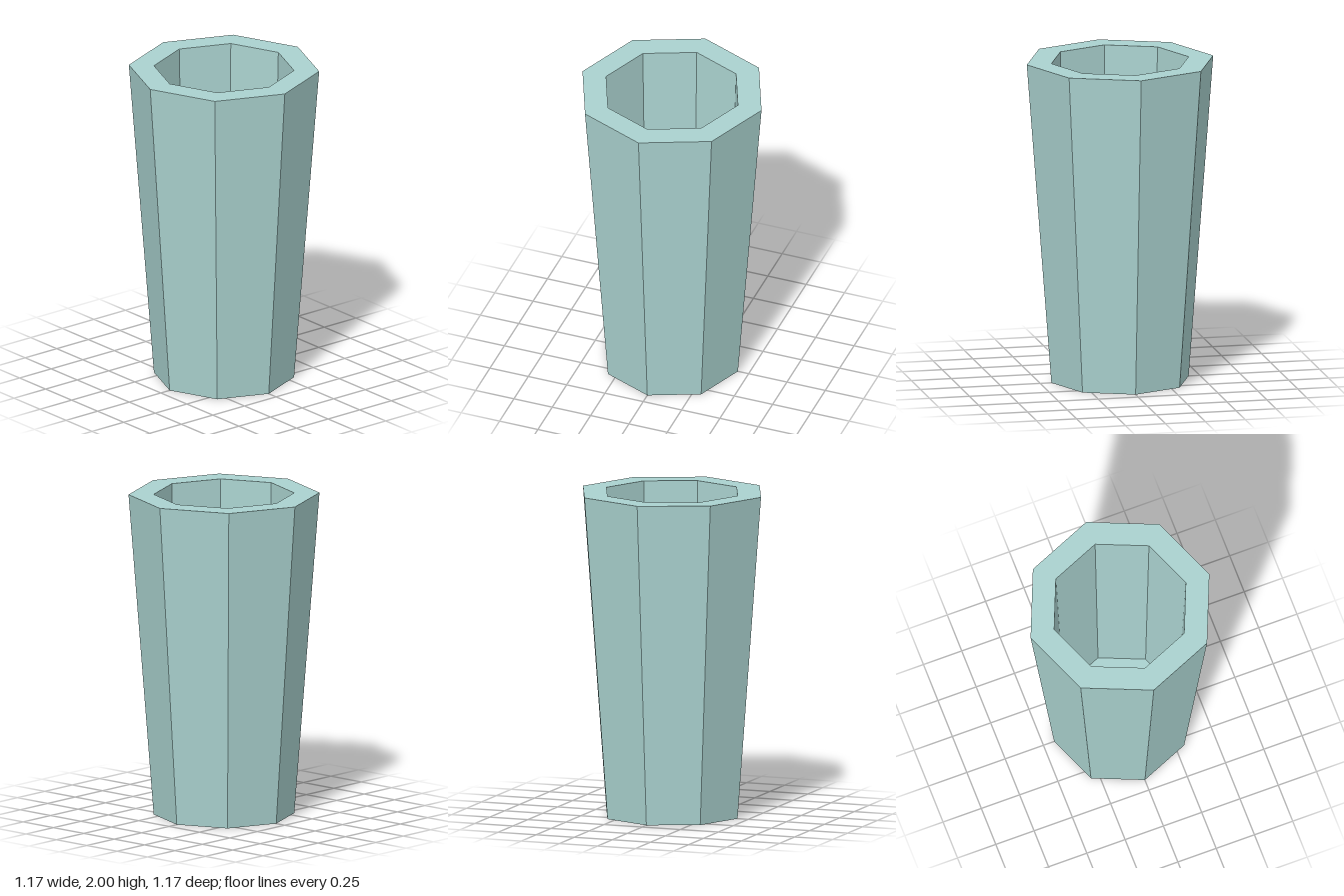
import * as THREE from 'three';

export function createModel() {
  const model = new THREE.Group();
  const material = new THREE.MeshStandardMaterial({ color: 0xaad2cf, flatShading: true });

  // Eight-sided tapered cup: base, outer wall, flat rim, inner wall, floor
  const profile = [
    [0, 0],
    [0.43, 0],
    [0.584, 2],
    [0.43, 2],
    [0.38, 0.1],
    [0, 0.1],
  ].map(([r, y]) => new THREE.Vector2(r, y));

  const cup = new THREE.Mesh(new THREE.LatheGeometry(profile, 8), material);
  cup.name = 'cup';
  model.add(cup);
  return model;
}
